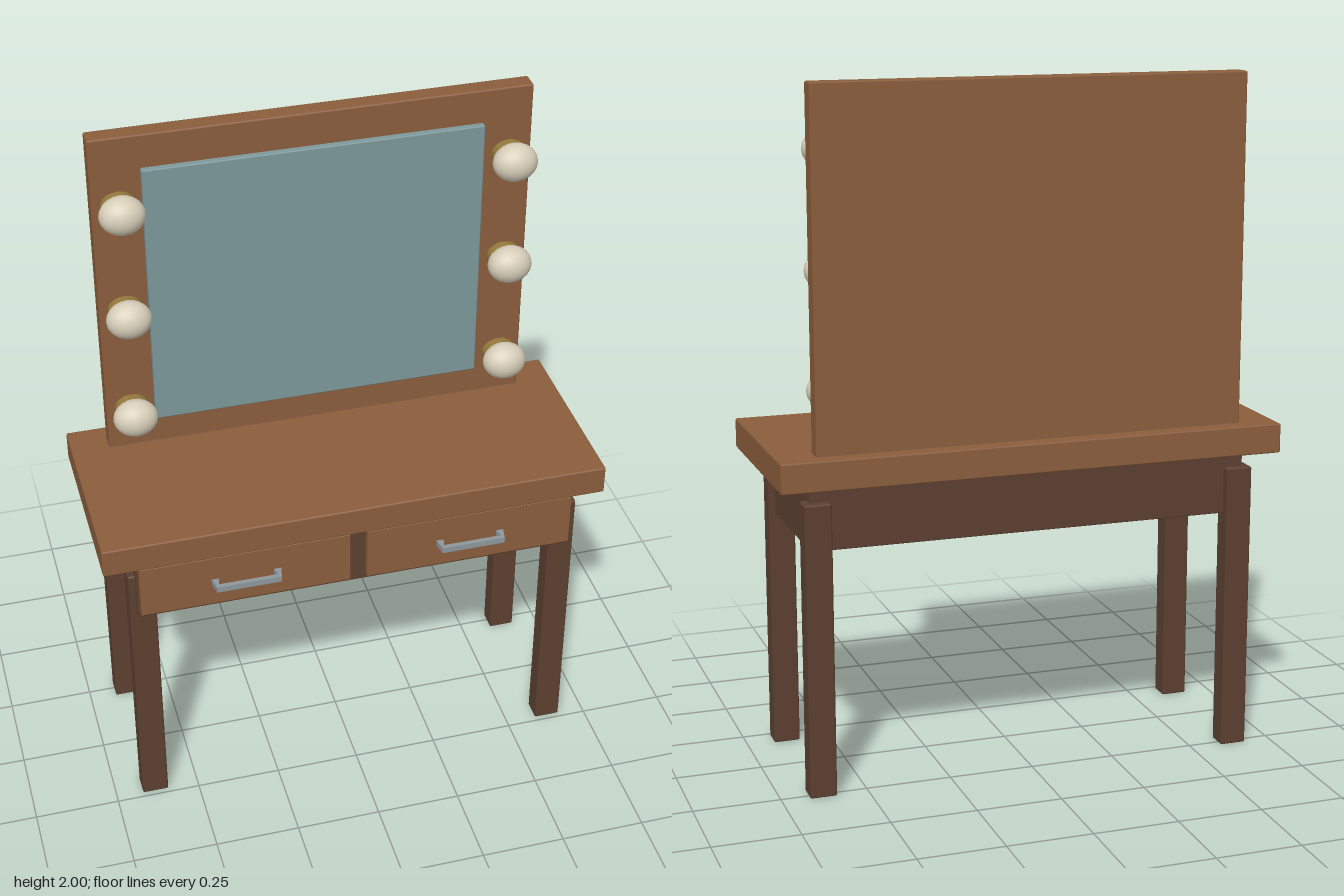
import * as THREE from 'three';
import { RoundedBoxGeometry } from 'three/addons/geometries/RoundedBoxGeometry.js';

const mat = (color) => new THREE.MeshStandardMaterial({ color });

export function createModel() {
  const model = new THREE.Group();
  model.name = 'vanityTable';
  const wood = mat(0x8b5e3c), darkWood = mat(0x5c4030), glass = mat(0x7d989c);
  const metal = mat(0x8d979c), brass = mat(0x94793a), bulbGlass = mat(0xd8cfba);

  const add = (name, geometry, material, parent = model) => {
    const mesh = new THREE.Mesh(geometry, material);
    mesh.name = name;
    parent.add(mesh);
    return mesh;
  };
  // Box with softly eased edges, given by its extents on each axis
  const box = (name, material, [x0, x1], [y0, y1], [z0, z1], bevel = 0.005) => {
    const geometry = new RoundedBoxGeometry(x1 - x0, y1 - y0, z1 - z0, 1, bevel);
    geometry.translate((x0 + x1) / 2, (y0 + y1) / 2, (z0 + z1) / 2);
    return add(name, geometry, material);
  };

  // Table
  box('tabletop', wood, [-0.742, 0.742], [0.9, 0.987], [-0.313, 0.27]);
  box('drawerCase', darkWood, [-0.65, 0.65], [0.715, 0.905], [-0.25, 0.25], 0.003);
  for (const [x0, x1, side] of [[0.592, 0.67, 'left'], [-0.67, -0.592, 'right']]) {
    box(side + 'FrontLeg', darkWood, [x0, x1], [0, 0.855], [0.172, 0.236]);
    box(side + 'BackLeg', darkWood, [x0, x1], [0, 0.855], [-0.276, -0.212]);
  }

  // Pull: a flat bar on two tapering feet, drawn in plan and extruded upward
  const pull = new THREE.Shape([
    [-0.102, 0], [-0.094, 0.041], [0.094, 0.041], [0.102, 0],
    [0.08, 0], [0.086, 0.027], [-0.086, 0.027], [-0.08, 0],
  ].map(([x, z]) => new THREE.Vector2(x, -z)));
  const pullGeometry = new THREE.ExtrudeGeometry(pull, { depth: 0.018, bevelEnabled: false });
  pullGeometry.rotateX(-Math.PI / 2);

  // Drawers
  for (const [x0, x1, side] of [[0.023, 0.642, 'left'], [-0.642, -0.027, 'right']]) {
    box(side + 'DrawerFront', wood, [x0, x1], [0.735, 0.902], [0.24, 0.27], 0.003);
    add(side + 'DrawerPull', pullGeometry, metal)
      .position.set((x0 + x1) / 2, 0.807, 0.268);
  }

  // Mirror
  box('mirrorBoard', wood, [-0.631, 0.631], [0.98, 2], [-0.265, -0.208]);
  box('mirrorGlass', glass, [-0.49, 0.487], [1.077, 1.9], [-0.212, -0.189], 0.004);

  // Bulbs in round sockets along both sides of the mirror
  const socketGeometry = new THREE.CylinderGeometry(0.05, 0.05, 0.045, 20);
  socketGeometry.rotateX(Math.PI / 2);
  socketGeometry.scale(1, 0.8, 1);
  const bulbGeometry = new THREE.SphereGeometry(1, 20, 14);
  bulbGeometry.rotateX(Math.PI / 2);
  bulbGeometry.scale(0.065, 0.056, 0.052);
  for (const x of [0.556, -0.56]) {
    for (const y of [1.14, 1.476, 1.81]) {
      const lamp = new THREE.Group();
      lamp.name = 'lamp';
      lamp.position.set(x, y, 0);
      add('socket', socketGeometry, brass, lamp).position.z = -0.163;
      add('bulb', bulbGeometry, bulbGlass, lamp).position.z = -0.124;
      model.add(lamp);
    }
  }
  return model;
}
